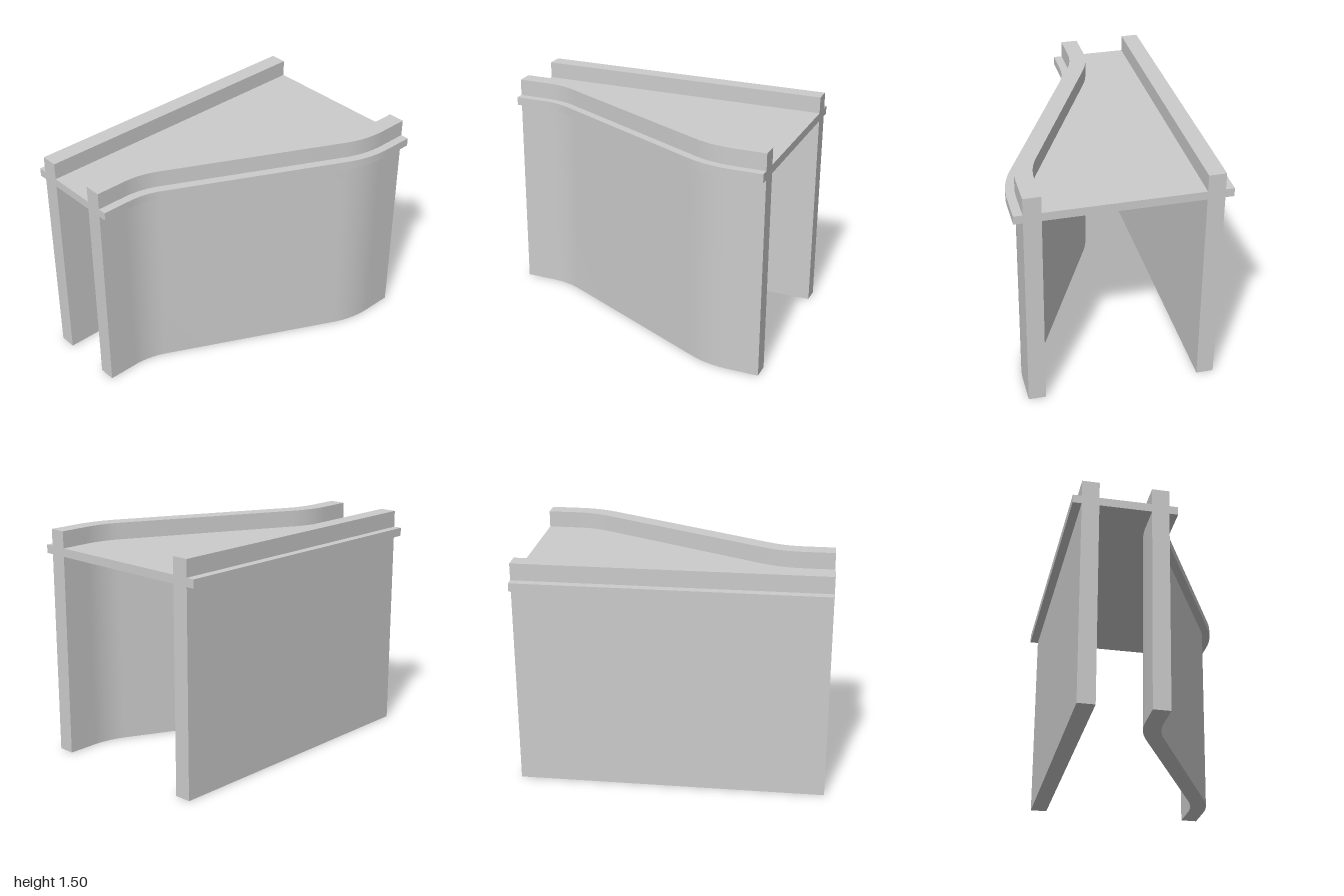
import * as THREE from 'three';
import { toCreasedNormals } from 'three/addons/utils/BufferGeometryUtils.js';

const HEIGHT = 1.5, DECK_Y = 1.335, DECK_T = 0.055;
const WALL = 0.111, LEDGE = 0.056;         // wall thickness, deck overhang
const START_X = -0.111, SHIFT = 0.667;     // curved wall centre line, front to back
const BEND_Z = 0.8, ANGLE = Math.atan(0.5), RADIUS = 0.565;

// First bend of the S-curve, offset sideways by d from the centre line
function bend(d) {
  const r = RADIUS - d, pts = [];
  for (let i = 0; i <= 12; i++) {
    const t = ANGLE * i / 12;
    pts.push([START_X + RADIUS - r * Math.cos(t), BEND_Z - r * Math.sin(t)]);
  }
  return [[START_X + d, 1], ...pts];
}

// Whole S-curve from front to back: the second bend is the first turned half round
function sCurve(d) {
  const back = bend(-d).map(([x, z]) => [2 * START_X + SHIFT - x, -z]).reverse();
  return [...bend(d), ...back];
}

// Upright slab from a plan outline of [x, z] points
function slab(name, outline, y, height, material) {
  const shape = new THREE.Shape(outline.map(([x, z]) => new THREE.Vector2(x, -z)));
  const extruded = new THREE.ExtrudeGeometry(shape, { depth: height, bevelEnabled: false });
  extruded.rotateX(-Math.PI / 2);
  const mesh = new THREE.Mesh(toCreasedNormals(extruded, Math.PI / 6), material);
  mesh.name = name;
  mesh.position.y = y;
  return mesh;
}

export function createModel() {
  const model = new THREE.Group();
  model.name = 'taperingBridge';
  const grey = new THREE.MeshStandardMaterial({ color: 0xcccccc });
  const left = -SHIFT, wallX = left + LEDGE;

  // Straight wall
  model.add(slab('straightWall',
    [[wallX, 1], [wallX + WALL, 1], [wallX + WALL, -1], [wallX, -1]], 0, HEIGHT, grey));

  // Curved wall of constant thickness
  model.add(slab('curvedWall',
    [...sCurve(WALL / 2), ...sCurve(-WALL / 2).reverse()], 0, HEIGHT, grey));

  // Deck passing through both walls, with a narrow ledge outside each
  model.add(slab('deck',
    [[left, 1], ...sCurve(WALL / 2 + LEDGE), [left, -1]], DECK_Y, DECK_T, grey));

  return model;
}
